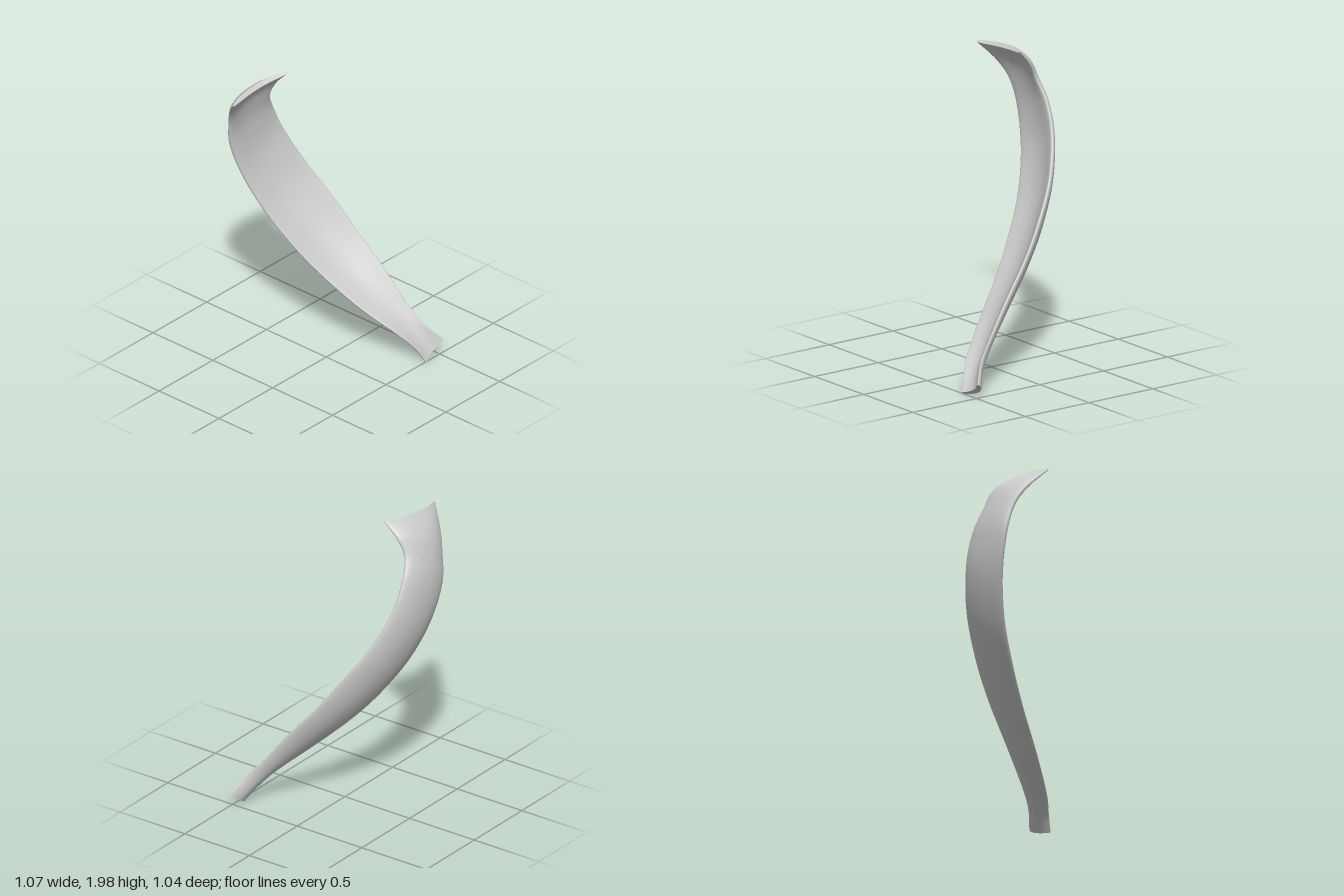
import * as THREE from 'three';

// Matching stations down the rims: right rim xyz, left rim xyz, trough depth, wall thickness, bow along the length
const stations = [
  [-0.535, 1.94, -0.30, -0.05, 1.985, -0.27, 0.028, 0.032, 0.025],
  [-0.45, 1.82, -0.40, -0.06, 1.89, -0.36, 0.038, 0.05, 0.01],
  [-0.39, 1.69, -0.46, -0.065, 1.78, -0.415, 0.03, 0.055, 0],
  [-0.35, 1.50, -0.488, 0.00, 1.64, -0.445, 0.026, 0.06, 0],
  [-0.27, 1.25, -0.45, 0.08, 1.45, -0.425, 0.04, 0.06, 0],
  [-0.18, 1.00, -0.35, 0.18, 1.21, -0.33, 0.052, 0.058, 0],
  [-0.09, 0.77, -0.20, 0.265, 0.98, -0.18, 0.06, 0.056, 0],
  [0.00, 0.58, -0.04, 0.32, 0.77, -0.03, 0.055, 0.052, 0],
  [0.12, 0.37, 0.18, 0.37, 0.54, 0.16, 0.046, 0.05, 0],
  [0.25, 0.20, 0.38, 0.405, 0.34, 0.31, 0.042, 0.045, 0],
  [0.32, 0.10, 0.46, 0.45, 0.21, 0.42, 0.042, 0.042, 0],
  [0.36, 0.01, 0.51, 0.53, 0.10, 0.505, 0.042, 0.042, 0],
];
const ROWS = 66, SIDES = 48;

const curveOf = (pick) => new THREE.CatmullRomCurve3(
  stations.map((s) => new THREE.Vector3(...pick(s))), false, 'catmullrom', 0.5);

// Squares off a sine or cosine so the rims are blunt and rounded
const blunt = (v) => Math.sign(v) * Math.abs(v) ** 0.75;

function toGeometry(positions, index) {
  const geometry = new THREE.BufferGeometry();
  geometry.setAttribute('position', new THREE.Float32BufferAttribute(positions, 3));
  geometry.setIndex(index);
  geometry.computeVertexNormals();
  return geometry;
}

export function createModel() {
  const group = new THREE.Group();
  group.name = 'curvedTrough';
  const grey = new THREE.MeshStandardMaterial({ color: 0xcccccc });
  grey.name = 'plain grey';

  const rightRim = curveOf((s) => s.slice(0, 3));
  const leftRim = curveOf((s) => s.slice(3, 6));
  const section = curveOf((s) => s.slice(6, 9));
  const middle = (t) => rightRim.getPoint(t).lerp(leftRim.getPoint(t), 0.5);

  // Crescent-shaped cross-section between the rims, hollow side to the front
  function ring(t) {
    const a = rightRim.getPoint(t), b = leftRim.getPoint(t);
    const { x: depth, y: thickness, z: bow } = section.getPoint(t);
    const along = middle(Math.min(1, t + 0.01)).sub(middle(Math.max(0, t - 0.01))).normalize();
    const normal = along.clone().cross(b.clone().sub(a)).normalize();
    const points = [];
    for (let j = 0; j < SIDES; j++) {
      const angle = (j / SIDES) * Math.PI * 2;
      const s = blunt(Math.cos(angle));
      const sag = 1 - s * s;
      const offset = blunt(Math.sin(angle)) * thickness / 2 - depth * sag;
      points.push(...a.clone().lerp(b, (s + 1) / 2)
        .addScaledVector(normal, offset).addScaledVector(along, bow * sag).toArray());
    }
    return points;
  }

  // Curved shell
  const positions = [], index = [];
  for (let i = 0; i <= ROWS; i++) {
    positions.push(...ring(i / ROWS));
    if (i === ROWS) break;
    for (let j = 0; j < SIDES; j++) {
      const k = (j + 1) % SIDES;
      const p = i * SIDES + j, q = i * SIDES + k;
      index.push(p, q, q + SIDES, p, q + SIDES, p + SIDES);
    }
  }
  const shell = new THREE.Mesh(toGeometry(positions, index), grey);
  shell.name = 'shell';
  group.add(shell);

  // End caps join the front and back of the crescent
  for (const [name, t] of [['topLip', 0], ['bottomEnd', 1]]) {
    const faces = [];
    for (let j = 0; j < SIDES / 2; j++) {
      const p = j, q = j + 1, r = (SIDES - j - 1) % SIDES, s = (SIDES - j) % SIDES;
      if (t) faces.push(p, q, r, p, r, s);
      else faces.push(p, r, q, p, s, r);
    }
    const cap = new THREE.Mesh(toGeometry(ring(t), faces), grey);
    cap.name = name;
    group.add(cap);
  }
  return group;
}
